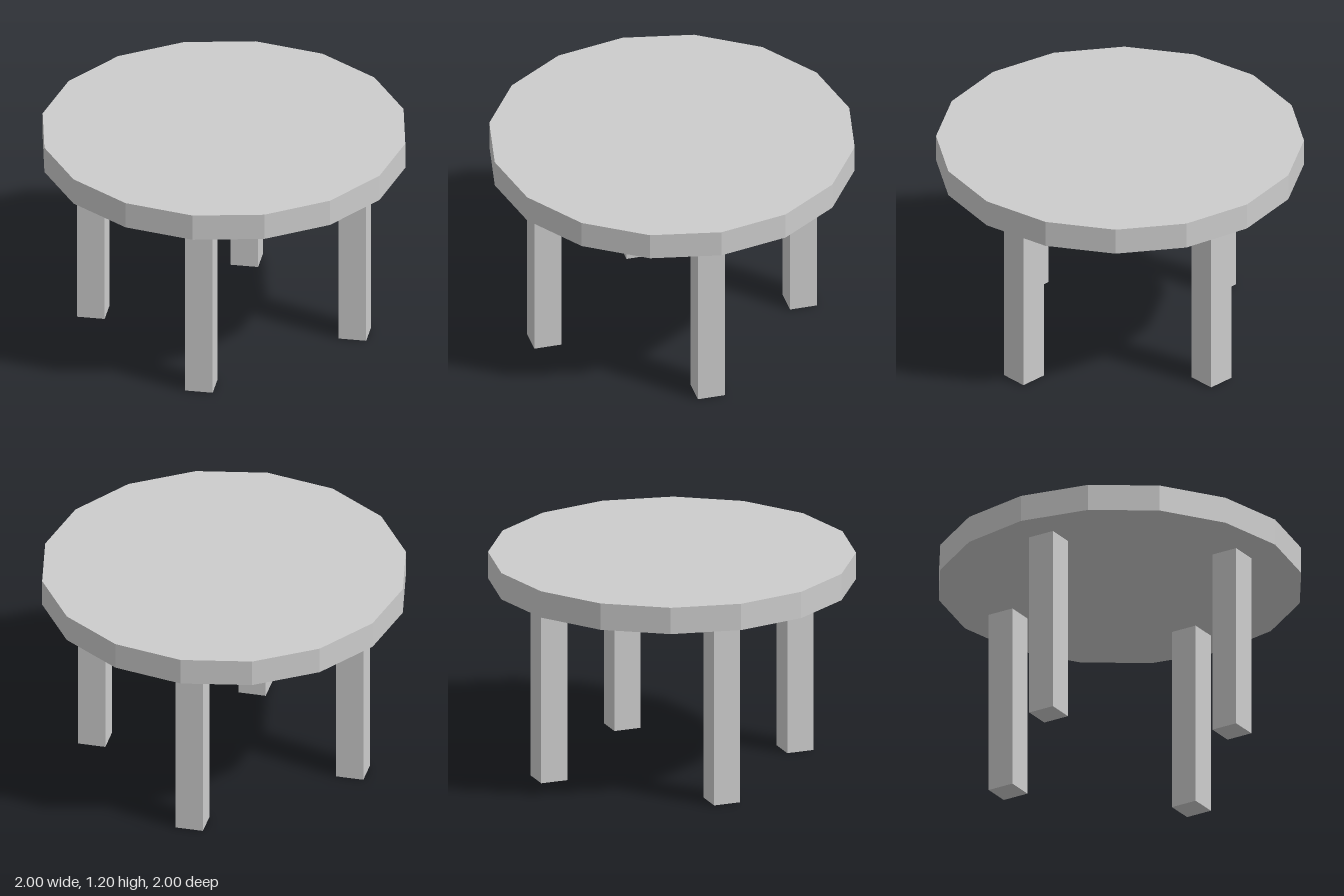
import * as THREE from 'three';

export function createModel() {
  const table = new THREE.Group();
  table.name = 'roundTable';

  const grey = new THREE.MeshStandardMaterial({ color: 0xcccccc, flatShading: true });
  grey.name = 'light grey';

  const legHeight = 1.05;
  const topThickness = 0.15;

  // Sixteen-sided table top
  const top = new THREE.Mesh(new THREE.CylinderGeometry(1, 1, topThickness, 16), grey);
  top.name = 'tableTop';
  top.position.y = legHeight + topThickness / 2;
  table.add(top);

  // Four square legs, turned so their corners point along the axes
  const legGeometry = new THREE.CylinderGeometry(0.108, 0.108, legHeight, 4);
  for (const [endName, z] of [['front', 0.51], ['back', -0.51]]) {
    for (const [sideName, x] of [['Left', 0.51], ['Right', -0.51]]) {
      const leg = new THREE.Mesh(legGeometry, grey);
      leg.name = `${endName}${sideName}Leg`;
      leg.position.set(x, legHeight / 2, z);
      table.add(leg);
    }
  }

  return table;
}
